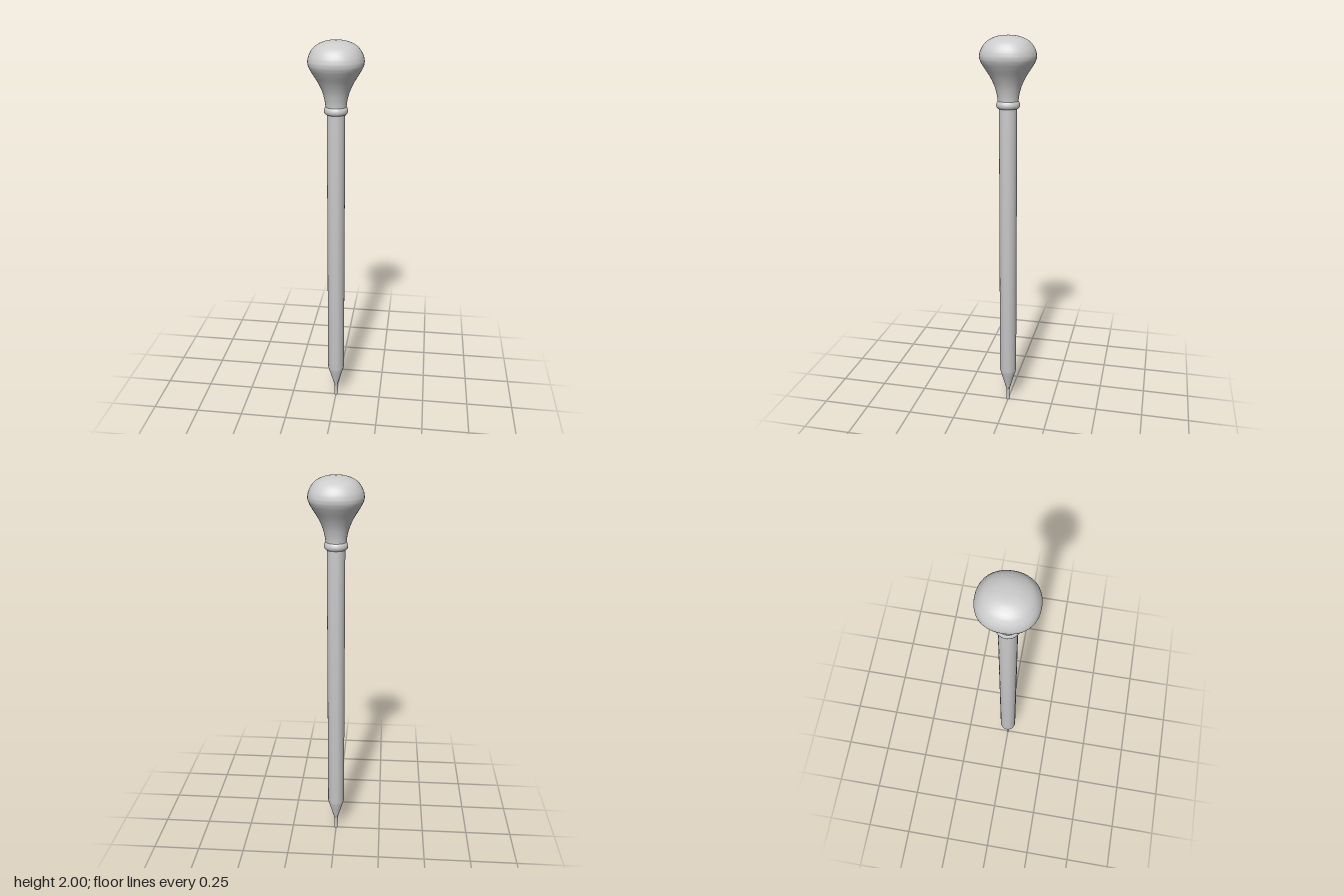
import * as THREE from 'three';
import { toCreasedNormals } from 'three/addons/utils/BufferGeometryUtils.js';

const material = new THREE.MeshStandardMaterial({ color: 0xcccccc, side: THREE.DoubleSide });
const toVectors = (points) => points.map(([r, y]) => new THREE.Vector2(r, y));

function addPart(group, name, geometry, crease) {
  const mesh = new THREE.Mesh(toCreasedNormals(geometry, crease), material);
  mesh.name = name;
  group.add(mesh);
}

export function createModel() {
  const group = new THREE.Group();
  group.name = 'dropper';

  // Straight tube drawn out to a fine nozzle
  const tube = toVectors([
    [0, 0], [0.008, 0], [0.008, 0.055], [0.011, 0.075], [0.02, 0.107],
    [0.031, 0.145], [0.041, 0.178], [0.045, 0.195], [0.045, 1.68],
  ]);
  addPart(group, 'tube', new THREE.LatheGeometry(tube, 32), 0.6);

  // Squeeze bulb: flared neck, full shoulder, domed crown
  const bulbCurve = new THREE.SplineCurve(toVectors([
    [0.051, 1.682], [0.055, 1.715], [0.067, 1.76], [0.088, 1.805], [0.116, 1.85],
    [0.132, 1.88], [0.136, 1.905], [0.128, 1.935], [0.108, 1.965],
    [0.08, 1.984], [0.045, 1.996], [0, 2],
  ]));
  const bulbPoints = bulbCurve.getPoints(44);
  bulbPoints.forEach((p) => { p.x = Math.max(p.x, 0); });
  const bulb = new THREE.LatheGeometry(bulbPoints, 40);

  // The bulb swells slightly square in plan where it is widest
  const pos = bulb.attributes.position;
  for (let i = 0; i < pos.count; i++) {
    const x = pos.getX(i), z = pos.getZ(i);
    const r = Math.hypot(x, z);
    const weight = THREE.MathUtils.clamp((r - 0.05) / 0.085, 0, 1);
    const swell = 1 + 0.035 * weight * Math.sin(2 * Math.atan2(z, x)) ** 2;
    pos.setX(i, x * swell * (1 - 0.006 * weight));
    pos.setZ(i, z * swell * (1 + 0.02 * weight));
  }
  addPart(group, 'bulb', bulb, 0.9);

  // Rolled collar where the bulb grips the tube
  const collar = toVectors([
    [0.044, 1.652], [0.051, 1.65], [0.056, 1.655], [0.059, 1.664],
    [0.058, 1.674], [0.055, 1.681], [0.051, 1.687],
  ]);
  addPart(group, 'collar', new THREE.LatheGeometry(collar, 40), 0.9);

  return group;
}
